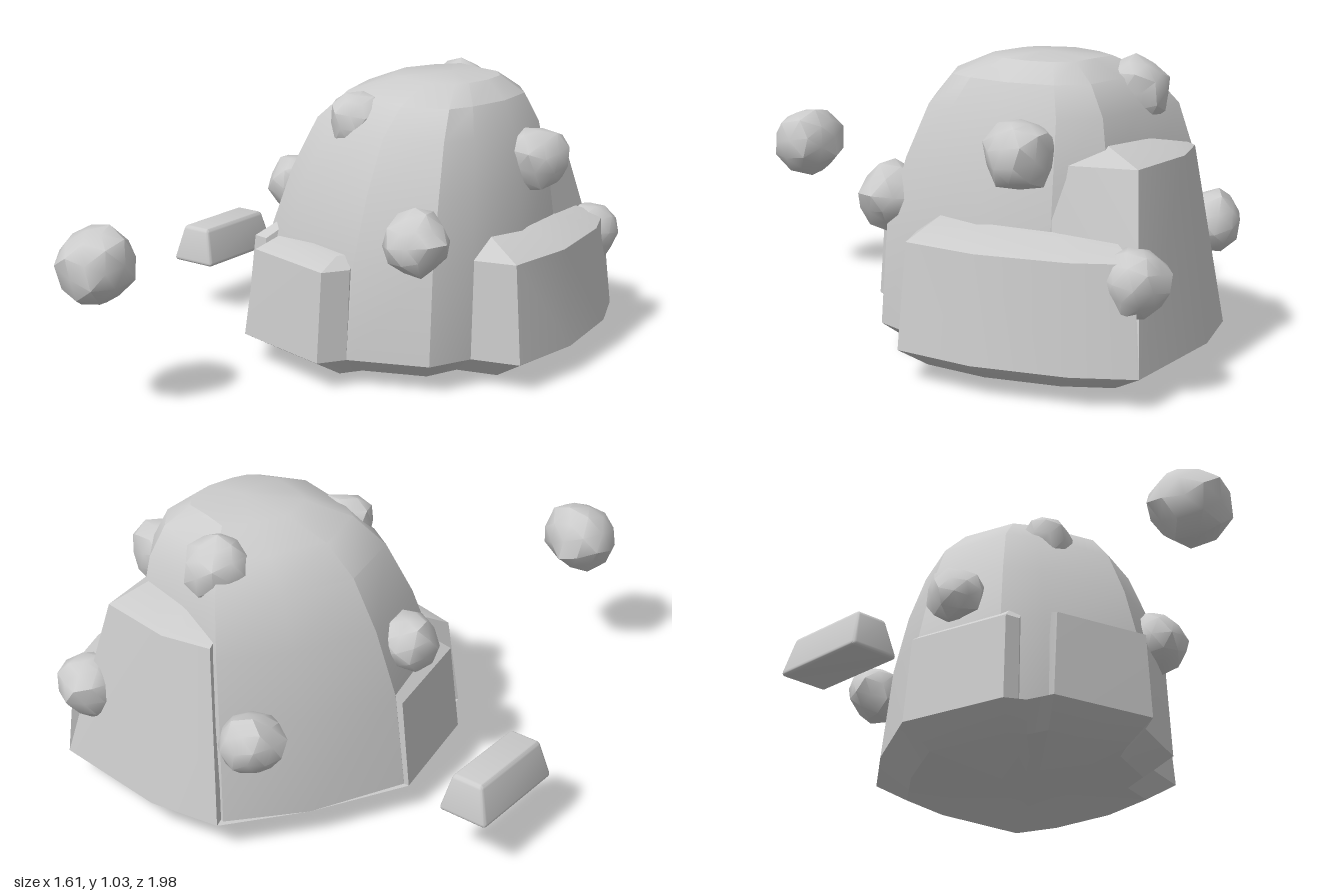
import * as THREE from 'three';
import { toCreasedNormals, mergeVertices } from 'three/addons/utils/BufferGeometryUtils.js';
import { ConvexGeometry } from 'three/addons/geometries/ConvexGeometry.js';
import { RoundedBoxGeometry } from 'three/addons/geometries/RoundedBoxGeometry.js';

const material = new THREE.MeshStandardMaterial({ color: 0xcccccc });
const CX = 0.2, CZ = -0.36;

function addMesh(group, name, geometry) {
  const mesh = new THREE.Mesh(geometry, material);
  mesh.name = name;
  group.add(mesh);
  return mesh;
}

// Skin a closed outline through levels [y, scale, shiftX, shiftZ]; scale 0 closes the shape.
function loft(outline, levels, crease) {
  const n = outline.length, pos = [], index = [];
  for (const [y, s, dx = 0, dz = 0] of levels)
    for (const [x, z] of outline) pos.push(CX + dx + (x - CX) * s, y, CZ + dz + (z - CZ) * s);
  for (let j = 0; j < levels.length - 1; j++)
    for (let i = 0; i < n; i++) {
      const a = j * n + i, b = j * n + (i + 1) % n;
      if (levels[j][1] > 0) index.push(a, b, b + n);
      if (levels[j + 1][1] > 0) index.push(a, b + n, a + n);
    }
  const g = new THREE.BufferGeometry();
  g.setAttribute('position', new THREE.Float32BufferAttribute(pos, 3));
  g.setIndex(index);
  return toCreasedNormals(g, crease);
}

// A ledge leaning on the boulder: outer foot, outer rim, and inner top edge.
// A third number in a foot point leans that corner of the rim sideways.
function ledge(foot, rimY, rimScale, topY, topScale) {
  const pts = [];
  for (const [x, z, lean = 0] of foot)
    for (const [y, s, dx] of [[0.11, 1, 0], [rimY, rimScale, lean], [topY, topScale, lean / 2], [0.11, 0.55, 0]])
      pts.push(new THREE.Vector3(CX + dx + (x - CX) * s, y, CZ + (z - CZ) * s));
  return toCreasedNormals(new ConvexGeometry(pts), 0.5);
}

// Irregular lump: a faceted ball with its corners pushed in and out.
function nuggetGeometry(radius, seed) {
  const source = new THREE.IcosahedronGeometry(1, 1);
  source.deleteAttribute('normal');
  source.deleteAttribute('uv');
  const g = mergeVertices(source, 1e-3);
  const p = g.attributes.position, v = new THREE.Vector3();
  for (let i = 0; i < p.count; i++) {
    const h = Math.sin((i + 1) * 12.99 + seed * 78.23) * 43758.5;
    v.fromBufferAttribute(p, i).multiplyScalar(radius * (0.85 + 0.2 * (h - Math.floor(h))));
    p.setXYZ(i, v.x, v.y, v.z);
  }
  return toCreasedNormals(g, 0.75);
}

export function createModel() {
  const model = new THREE.Group();
  model.name = 'oreRock';

  // Boulder dome, bulging low on the back left
  const boulder = new THREE.Group();
  boulder.name = 'boulder';
  model.add(boulder);
  const domeOutline = [
    [-0.14, 0.06], [0.25, 0.17], [0.52, 0.06], [0.59, -0.09], [0.65, -0.35],
    [0.63, -0.62], [0.5, -0.78], [0.23, -0.84], [-0.03, -0.92], [-0.22, -0.7], [-0.37, -0.38],
    [-0.28, -0.03],
  ];
  addMesh(boulder, 'dome', loft(domeOutline, [
    [0.11, 1], [0.45, 0.95, 0.01], [0.68, 0.85, 0.02, -0.02], [0.86, 0.73, 0.03, -0.04],
    [0.96, 0.58, 0.05, -0.05], [1.02, 0.35, 0.07, -0.07], [1.035, 0, 0.08, -0.07],
  ], 0.5));

  // Shallow rounded underside, following the full footprint
  const footprint = [
    [-0.2, 0.17], [0.19, 0.26], [0.25, 0.17], [0.52, 0.06], [0.58, -0.09], [0.76, -0.14],
    [0.8, -0.42], [0.76, -0.74], [0.68, -0.94], [0.5, -0.96], [0.23, -0.99], [-0.03, -0.95],
    [-0.22, -0.7], [-0.39, -0.38], [-0.3, 0.03], [-0.23, 0.07],
  ];
  addMesh(boulder, 'underside', loft(footprint, [
    [0.005, 0, 0.03], [0.035, 0.79], [0.11, 1], [0.115, 0],
  ], 0.5));

  // Broken ledges around the dome
  const ledges = [
    ['frontLedge', [[-0.2, 0.17, 0.02], [0.19, 0.26], [0.25, 0.17]], 0.43, 0.96, 0.47, 0.82],
    ['rightLedge', [[0.58, -0.09], [0.76, -0.14], [0.8, -0.42], [0.76, -0.74], [0.68, -0.94]], 0.46, 0.94, 0.53, 0.68],
    ['backLedge', [[0.64, -0.5], [0.68, -0.94, -0.1], [0.23, -0.99], [-0.03, -0.95, 0.04]], 0.72, 0.85, 0.78, 0.6],
    ['leftLedge', [[-0.39, -0.38], [-0.3, 0.03], [-0.24, 0.04]], 0.43, 0.95, 0.5, 0.78],
  ];
  for (const [name, foot, ...profile] of ledges) addMesh(boulder, name, ledge(foot, ...profile));

  // Ore nuggets set in the boulder, and one loose
  const nuggets = [
    ['topNugget', 0.15, 0.91, -0.69, 0.12],
    ['upperRightNugget', 0.59, 0.75, -0.49, 0.125],
    ['cornerNugget', 0.6, 0.39, -0.89, 0.12],
    ['frontRightNugget', 0.46, 0.54, 0.05, 0.12],
    ['upperFrontNugget', 0.07, 0.88, -0.14, 0.105],
    ['leftNugget', -0.28, 0.58, -0.24, 0.11],
    ['backNugget', -0.12, 0.43, -0.86, 0.115],
    ['looseNugget', -0.27, 0.53, 0.85, 0.14],
  ];
  nuggets.forEach(([name, x, y, z, r], i) => {
    const nugget = addMesh(model, name, nuggetGeometry(r, i + 1));
    nugget.position.set(x, y, z);
    nugget.rotation.set(i * 0.7, i * 1.1, 0);
  });

  // Ingot: a rounded bar tapering to the top
  const bar = new RoundedBoxGeometry(0.19, 0.14, 0.39, 2, 0.015);
  const p = bar.attributes.position;
  for (let i = 0; i < p.count; i++) {
    const t = p.getY(i) / 0.14 + 0.5;
    p.setX(i, p.getX(i) * (1 - 0.4 * t));
    p.setZ(i, p.getZ(i) * (1 - 0.14 * t));
  }
  addMesh(model, 'ingot', toCreasedNormals(bar, 0.6)).position.set(-0.715, 0.27, -0.335);

  return model;
}
